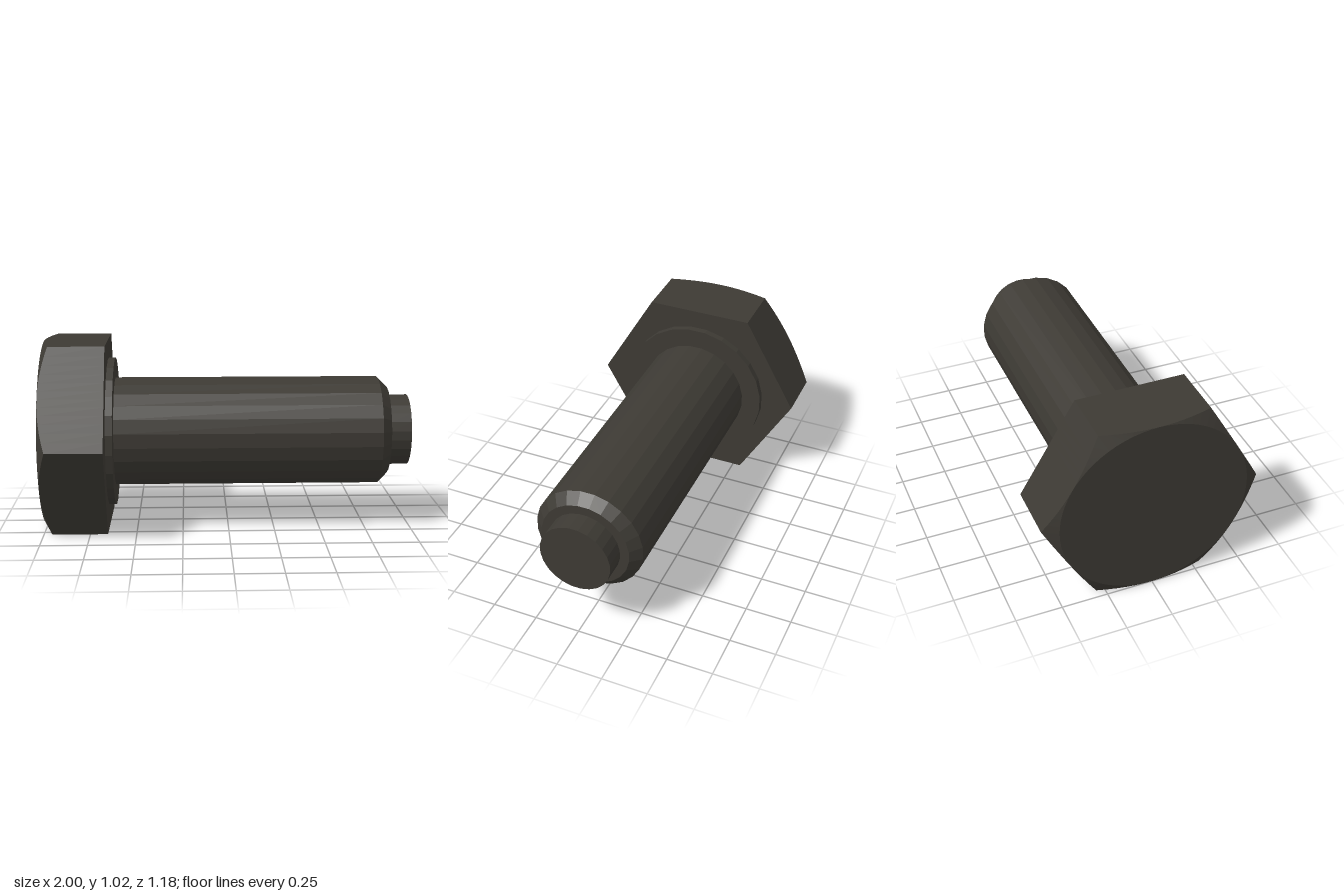
import * as THREE from 'three';

const SIDES = 24;      // facets on the round parts
const APOTHEM = 0.51;  // half the width across the head's flats

export function createModel() {
  const group = new THREE.Group();
  group.name = 'hexBolt';
  const material = new THREE.MeshStandardMaterial({ color: 0x3d3a34, flatShading: true });

  // Turns a profile of [radius, x] points about the bolt's long axis
  function turned(name, profile, sides, start) {
    const points = profile.map(([r, x]) => new THREE.Vector2(r, x));
    const geometry = new THREE.LatheGeometry(points, sides, start);
    const mesh = new THREE.Mesh(geometry, material);
    mesh.name = name;
    mesh.rotation.z = -Math.PI / 2;
    mesh.position.y = APOTHEM;
    group.add(mesh);
    return geometry;
  }

  // Hexagonal head: a turned disc whose rim is pushed out to a hexagon,
  // with a 30 degree conical chamfer cutting the corners of the outer face
  const rim = 0.55;
  const head = turned('head', [
    [0, -1], [APOTHEM - 0.001, -1], [rim, -0.97], [rim, -0.655], [0, -0.655],
  ], 72, 0);
  const p = head.attributes.position;
  for (let i = 0; i < p.count; i++) {
    const x = p.getX(i), z = p.getZ(i);
    if (Math.hypot(x, z) < rim - 0.01) continue;
    const angle = Math.atan2(x, z) + 2 * Math.PI;
    const r = APOTHEM / Math.cos((angle % (Math.PI / 3)) - Math.PI / 6);
    const y = p.getY(i) < -0.8 ? -1 + (r - APOTHEM) * Math.tan(Math.PI / 6) : p.getY(i);
    p.setXYZ(i, r * Math.sin(angle), y, r * Math.cos(angle));
  }
  head.computeVertexNormals();

  // Round parts, with a facet facing straight up
  const half = Math.PI / SIDES;
  turned('collar', [[0.408, -0.655], [0.408, -0.618], [0.29, -0.618]], SIDES, half);
  turned('shank', [[0.298, -0.618], [0.298, 0.83], [0.245, 0.883], [0.19, 0.883]], SIDES, half);
  turned('tipPin', [[0.195, 0.883], [0.195, 1], [0, 1]], SIDES, half);

  return group;
}
